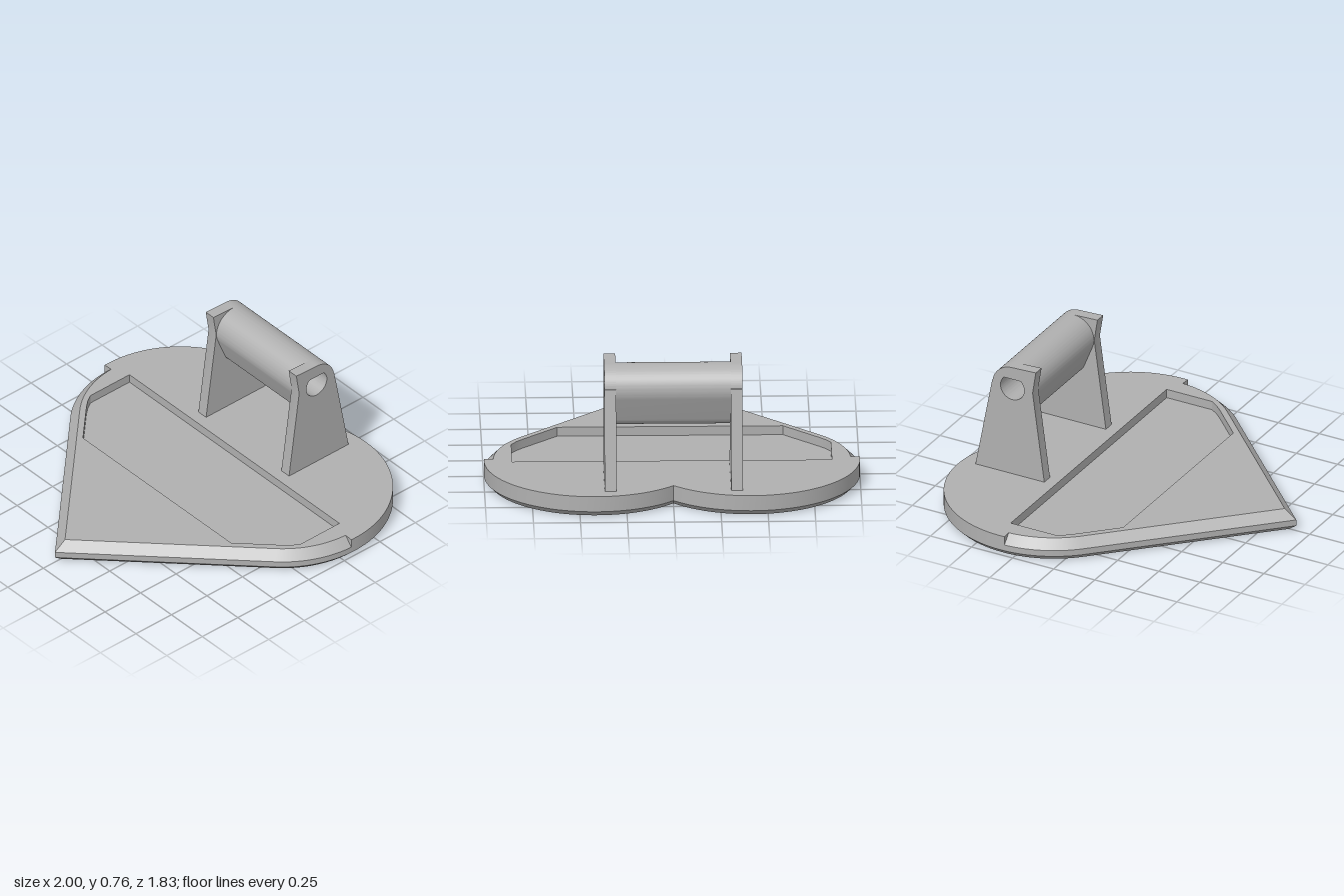
import * as THREE from 'three';
import { toCreasedNormals } from 'three/addons/utils/BufferGeometryUtils.js';

const grey = new THREE.MeshStandardMaterial({ color: 0xb0b0b0 });
grey.name = 'plain grey';

// Heart plate: two round lobes whose tangents meet in a right-angled tip
const LOBE_X = 0.413, LOBE_Z = -0.325, LOBE_R = 0.587, SPLIT_Z = -0.3;
const PLATE_H = 0.115, FLOOR = 0.065, STEPS = 40;

// Heart outline as [x, z], inset by different amounts behind and ahead of the split
function heart(backInset, frontInset) {
  const half = [];
  const arc = (inset, from, to) => {
    const r = LOBE_R - inset;
    for (let i = 0; i <= STEPS; i++) {
      const a = from + (to - from) * i / STEPS;
      half.push([LOBE_X + r * Math.cos(a), LOBE_Z + r * Math.sin(a)]);
    }
  };
  const split = Math.asin((SPLIT_Z - LOBE_Z) / LOBE_R);
  arc(backInset, -Math.acos(-LOBE_X / (LOBE_R - backInset)), split);
  arc(frontInset, split, Math.PI / 4);
  half[0][0] = 0;
  const tip = [0, LOBE_X + LOBE_Z + (LOBE_R - frontInset) * Math.SQRT2];
  const mirrored = half.slice(1).reverse().map(([x, z]) => [-x, z]);
  return [...half, tip, ...mirrored];
}

// Wall through a stack of equal-length closed loops
function wall(layers) {
  const pos = [];
  for (let k = 0; k < layers.length - 1; k++) {
    const [lo, hi] = [layers[k], layers[k + 1]];
    const n = lo.loop.length;
    for (let i = 0; i < n; i++) {
      const j = (i + 1) % n;
      const p = (l, m) => [l.loop[m][0], l.y, l.loop[m][1]];
      pos.push(...p(lo, i), ...p(hi, i), ...p(lo, j), ...p(lo, j), ...p(hi, i), ...p(hi, j));
    }
  }
  const g = new THREE.BufferGeometry();
  g.setAttribute('position', new THREE.Float32BufferAttribute(pos, 3));
  return toCreasedNormals(g, 0.5);
}

// Flat horizontal face, facing up or down
function cap(loop, y, up, hole) {
  const pts = (l) => l.map(([x, z]) => new THREE.Vector2(x, up ? -z : z));
  const shape = new THREE.Shape(pts(loop));
  if (hole) shape.holes.push(new THREE.Path(pts(hole)));
  return new THREE.ShapeGeometry(shape).rotateX(up ? -Math.PI / 2 : Math.PI / 2).translate(0, y, 0);
}

// Axle: profiles are drawn as (-z, y) and extruded along x
const AXLE_U = 0.605, AXLE_Y = 0.635, AXLE_R = 0.121;

function boreHole() {
  const r = 0.072, hole = new THREE.Path();
  hole.moveTo(AXLE_U, AXLE_Y + r * Math.SQRT2 - 0.004);
  hole.absarc(AXLE_U, AXLE_Y, r, Math.PI * 3 / 4, Math.PI * 9 / 4, false);
  hole.closePath();
  return hole;
}

function extrudeX(shape, x0, x1) {
  shape.holes.push(boreHole());
  const g = new THREE.ExtrudeGeometry(shape, { depth: x1 - x0, bevelEnabled: false, curveSegments: 32 });
  return toCreasedNormals(g.rotateY(Math.PI / 2).translate(x0, 0, 0), 0.5);
}

function postShape() {
  const s = new THREE.Shape();
  s.moveTo(0.41, PLATE_H - 0.005);
  s.lineTo(0.83, PLATE_H - 0.005);
  s.lineTo(0.728, 0.65);
  s.absarc(AXLE_U, AXLE_Y, AXLE_R, 0.15, Math.PI / 2, false);
  s.lineTo(0.462, 0.762);
  s.lineTo(0.482, 0.635);
  s.closePath();
  return s;
}

// Rounded bar section narrowing to a smaller rounded underside
function barShape() {
  const r2 = 0.065, y2 = 0.42 + r2;
  const a = Math.asin((AXLE_R - r2) / (AXLE_Y - y2));
  const s = new THREE.Shape();
  s.absarc(AXLE_U, AXLE_Y, AXLE_R, -a, Math.PI + a, false);
  s.absarc(AXLE_U, y2, r2, Math.PI + a, Math.PI * 2 - a, false);
  s.closePath();
  return s;
}

export function createModel() {
  const model = new THREE.Group();
  model.name = 'heartStand';
  const add = (name, geometry, parent = model) => {
    const m = new THREE.Mesh(geometry, grey);
    m.name = name;
    parent.add(m);
  };

  // Plate, with a chamfer below and another along the upper front edge
  const plate = new THREE.Group();
  plate.name = 'heartPlate';
  model.add(plate);
  const bottom = heart(0.03, 0.03), full = heart(0, 0), top = heart(0, 0.05);
  const pocketHalf = [[0.85, -0.345], [0.85, -0.07], [0.825, -0.03], [0.79, 0.01], [0.6, 0.2]];
  const pocket = [...pocketHalf, ...pocketHalf.map(([x, z]) => [-x, z]).reverse()];
  add('plateRim', wall([
    { loop: bottom, y: 0 }, { loop: full, y: 0.03 }, { loop: full, y: FLOOR }, { loop: top, y: PLATE_H },
  ]), plate);
  add('plateUnderside', cap(bottom, 0, false), plate);
  add('plateTop', cap(top, PLATE_H, true, pocket), plate);

  // Shallow tray sunk into the plate
  const inward = [...pocket].reverse();
  add('trayWall', wall([{ loop: inward, y: FLOOR }, { loop: inward, y: PLATE_H }]), plate);
  add('trayFloor', cap(pocket, FLOOR, true), plate);

  // Two posts and the hollow bar between them
  add('leftPost', extrudeX(postShape(), 0.305, 0.367));
  add('rightPost', extrudeX(postShape(), -0.367, -0.305));
  add('crossBar', extrudeX(barShape(), -0.305, 0.305));
  return model;
}
